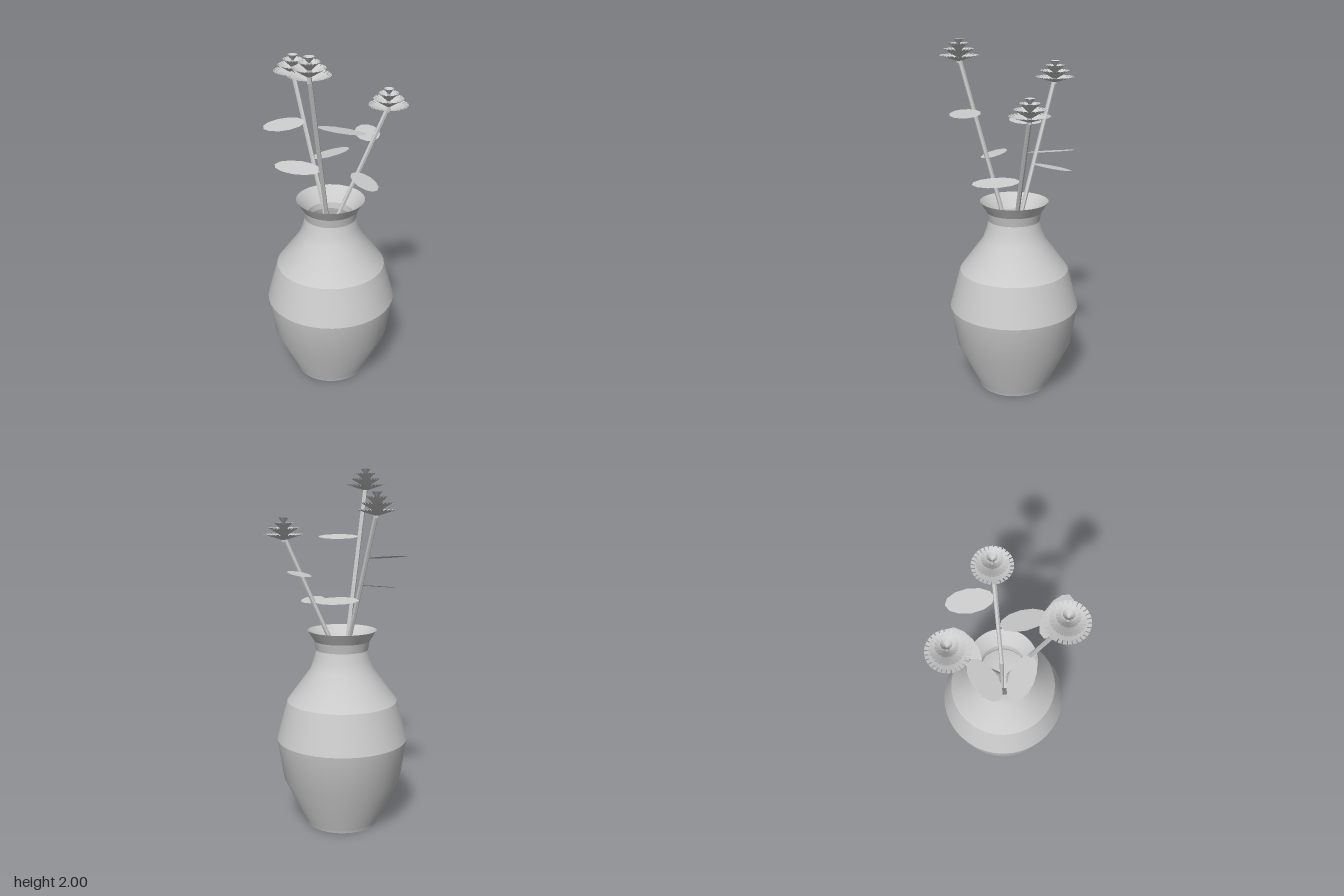
import * as THREE from 'three';
import { toCreasedNormals } from 'three/addons/utils/BufferGeometryUtils.js';

const grey = new THREE.MeshStandardMaterial({ color: 0xcccccc, side: THREE.DoubleSide });
grey.name = 'grey';

function part(name, geometry, parent) {
  const mesh = new THREE.Mesh(geometry, grey);
  mesh.name = name;
  parent.add(mesh);
  return mesh;
}

// Straight rod between two points
function rod(name, a, b, radius, parent) {
  const dir = b.clone().sub(a);
  const geo = toCreasedNormals(new THREE.CylinderGeometry(radius, radius, dir.length(), 6), 0.5);
  const mesh = part(name, geo, parent);
  mesh.position.copy(a).add(b).multiplyScalar(0.5);
  mesh.quaternion.setFromUnitVectors(new THREE.Vector3(0, 1, 0), dir.normalize());
}

// Open bowl of petals: a solid cone up to the notches, then separate tips
function petalTier(r0, y0, r1, y1, notch, count, fill) {
  const pos = [];
  const at = (r, a) => {
    const y = y0 + (y1 - y0) * (r - r0) / (r1 - r0);
    return [r * Math.sin(a), y, r * Math.cos(a)];
  };
  const quad = (a, b, c, d) => pos.push(...a, ...b, ...c, ...a, ...c, ...d);
  const step = Math.PI * 2 / count, rn = r1 - notch;
  for (let i = 0; i < count; i++) {
    const a = i * step, h = step / 2, t = h * fill;
    quad(at(r0, a - h), at(rn, a - h), at(rn, a + h), at(r0, a + h));
    quad(at(rn, a - t), at(r1, a - t), at(r1, a + t), at(rn, a + t));
  }
  const geo = new THREE.BufferGeometry();
  geo.setAttribute('position', new THREE.Float32BufferAttribute(pos, 3));
  geo.computeVertexNormals();
  return geo;
}

// Blossom: four stacked tiers, origin at the top of the bud
function blossom(parent, x, y, z) {
  const flower = new THREE.Group();
  flower.name = 'blossom';
  flower.position.set(x, y, z);
  const tiers = [
    // inner radius, inner y, outer radius, outer y, notch, petals, fill
    [0.012, -0.118, 0.108, -0.088, 0.020, 28, 0.78],
    [0.012, -0.098, 0.083, -0.054, 0.010, 24, 0.85],
    [0.008, -0.068, 0.055, -0.024, 0.007, 18, 0.88],
    [0.001, -0.036, 0.028, 0.000, 0.002, 14, 0.98],
  ];
  tiers.forEach((t) => part('petalTier', petalTier(...t), flower));
  rod('budCore', new THREE.Vector3(0, -0.13, 0), new THREE.Vector3(0, -0.03, 0), 0.012, flower);
  parent.add(flower);
}

// Flat oval leaf from its base towards a heading, rolled a little about its length
function leaf(parent, y, x0, z0, x1, z1) {
  const geo = new THREE.CircleGeometry(1, 12);
  geo.rotateX(-Math.PI / 2);
  geo.scale(Math.hypot(x1 - x0, z1 - z0) / 2, 1, 0.067);
  geo.rotateX(-0.16);
  geo.rotateY(-Math.atan2(z1 - z0, x1 - x0));
  part('leaf', geo, parent).position.set((x0 + x1) / 2, y, (z0 + z1) / 2);
}

export function createModel() {
  const model = new THREE.Group();
  model.name = 'vaseWithFlowers';

  // Vase: recessed foot, outer wall, flared lip, inner wall and floor
  const profile = [
    [0, 0.012], [0.192, 0.012], [0.197, 0], [0.207, 0], [0.212, 0.02],
    [0.333, 0.27], [0.37, 0.5], [0.31, 0.72], [0.178, 0.9],
    [0.157, 0.96], [0.145, 1.01], [0.155, 1.06], [0.193, 1.12],
    [0.15, 1.07], [0.127, 1.035], [0.122, 1.0], [0.135, 0.95], [0.16, 0.885],
    [0.29, 0.71], [0.35, 0.5], [0.314, 0.28], [0.195, 0.04], [0, 0.04],
  ].map(([r, y]) => new THREE.Vector2(r, y));
  const vase = part('vase', toCreasedNormals(new THREE.LatheGeometry(profile, 40), 0.36), model);
  vase.position.set(-0.021, 0, -0.023);

  // Each flower: blossom top, bend of the stem inside the neck, and two leaves
  const flowers = [
    { top: [0.28, 1.735, -0.118], bend: [0.015, 1.0, -0.035],
      leaves: [[1.445, 0.205, -0.1, 0.12, -0.345], [1.272, 0.118, -0.06, 0.225, 0.185]] },
    { top: [-0.252, 1.87, -0.237], bend: [-0.045, 0.97, -0.045],
      leaves: [[1.53, -0.185, -0.155, -0.375, 0.015], [1.31, -0.135, -0.128, 0.045, -0.33]] },
    { top: [-0.086, 2.0, 0.281], bend: [-0.028, 0.93, 0.012],
      leaves: [[1.62, -0.06, 0.185, 0.19, 0.28], [1.353, -0.052, 0.135, -0.312, 0.068]] },
  ];
  for (const { top, bend, leaves } of flowers) {
    const flower = new THREE.Group();
    flower.name = 'flower';
    const knee = new THREE.Vector3(...bend);
    const head = new THREE.Vector3(top[0], top[1] - 0.1, top[2]);
    rod('stem', knee, head, 0.0125, flower);
    rod('lowerStem', new THREE.Vector3(bend[0], 0.04, bend[2]), knee, 0.0125, flower);
    blossom(flower, ...top);
    leaves.forEach((l) => leaf(flower, ...l));
    model.add(flower);
  }
  return model;
}
